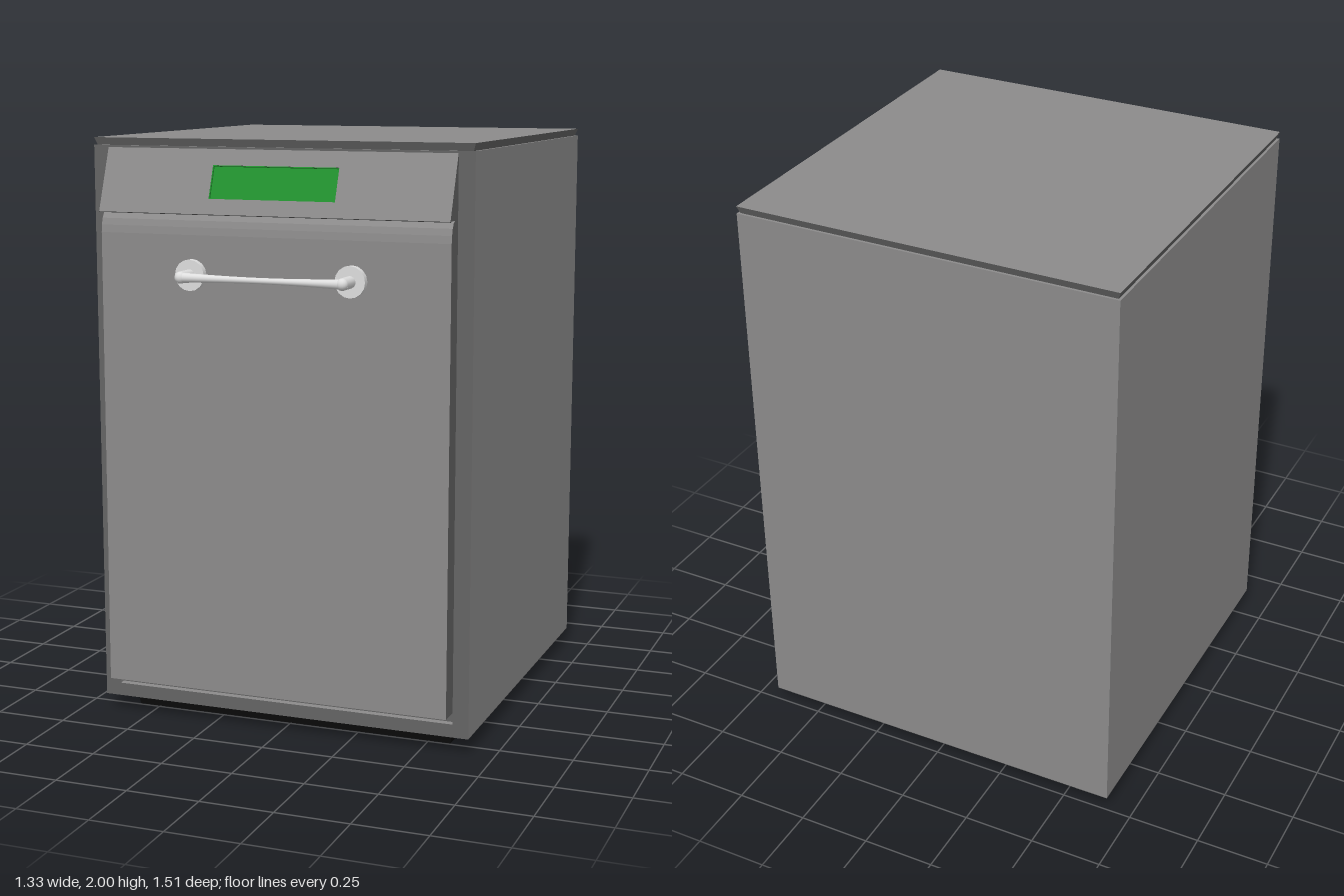
import * as THREE from 'three';

export function createModel() {
  const model = new THREE.Group();
  const mat = (name, color, side = THREE.FrontSide) => {
    const m = new THREE.MeshStandardMaterial({ color, side });
    m.name = name;
    return m;
  };
  const steel = mat('steel grey', 0x8c8b8b);
  const trim = mat('dark trim', 0x646464);
  const black = mat('plinth black', 0x0a0a0a);
  const green = mat('display green', 0x22922f);
  const chrome = mat('pale handle', 0xdedede);

  const add = (name, geometry, material, parent = model) => {
    const mesh = new THREE.Mesh(geometry, material);
    mesh.name = name;
    parent.add(mesh);
    return mesh;
  };
  const block = (name, x0, x1, y0, y1, z0, z1, material) =>
    add(name, new THREE.BoxGeometry(x1 - x0, y1 - y0, z1 - z0), material)
      .position.set((x0 + x1) / 2, (y0 + y1) / 2, (z0 + z1) / 2);
  const rect = (C, x0, x1, y0, y1) => new C([[x0, y0], [x1, y0], [x1, y1], [x0, y1]]
    .map(([x, y]) => new THREE.Vector2(x, y)));
  // flat outline with a rectangular opening
  const frame = (outer, inner, depth) => {
    const shape = rect(THREE.Shape, ...outer);
    shape.holes.push(rect(THREE.Path, ...inner));
    return new THREE.ExtrudeGeometry(shape, { depth, bevelEnabled: false });
  };
  // block whose lower end is narrower than its upper end
  const taperedBlock = (name, w, h, d, inset, y, z, material) => {
    const g = new THREE.BoxGeometry(w, h, d);
    const p = g.attributes.position;
    for (let i = 0; i < p.count; i++) {
      if (p.getY(i) < 0) {
        p.setX(i, p.getX(i) - Math.sign(p.getX(i)) * inset);
        p.setZ(i, p.getZ(i) - Math.sign(p.getZ(i)) * inset);
      }
    }
    g.computeVertexNormals();
    add(name, g, material).position.set(0, y, z);
  };
  // side profile of [z, y] points swept across the width
  const W = 0.61;
  const sweep = (name, points, materials) => {
    const shape = new THREE.Shape(points.map(([z, y]) => new THREE.Vector2(-z, y)));
    const g = new THREE.ExtrudeGeometry(shape, { depth: 2 * W, bevelEnabled: false });
    g.translate(0, 0, -W).rotateY(Math.PI / 2);
    add(name, g, materials);
  };

  // Cabinet, front surround and plinth
  block('cabinet', -0.665, 0.665, 0.057, 1.975, -0.755, 0.555, [steel, steel, steel, trim, trim, steel]);
  block('cabinetBottom', -0.665, 0.665, 0.055, 0.057, -0.755, 0.58, trim);
  add('frontSurround', frame([-0.665, 0.665, 0.057, 1.975], [-W, W, 0.1, 1.965], 0.025), [trim, steel])
    .position.z = 0.555;
  taperedBlock('plinth', 1.17, 0.056, 1.17, 0.008, 0.028, -0.085, black);

  // Worktop with an undercut edge
  taperedBlock('worktop', 1.33, 0.025, 1.335, 0.009, 1.9875, -0.0875,
    [trim, trim, steel, trim, trim, trim]);

  // Door with a rounded top edge
  sweep('door', [[0.555, 0.14], [0.653, 0.14], [0.645, 1.69], [0.642, 1.715], [0.636, 1.737],
    [0.625, 1.754], [0.61, 1.762], [0.555, 1.762]], [trim, steel]);

  // Sloping control panel: wedge backing plus a front plate with an opening
  const z0 = 0.66, y0 = 1.76, z1 = 0.582, y1 = 1.968, t = 0.008;
  const slope = Math.hypot(z0 - z1, y1 - y0);
  const angle = Math.atan2(z0 - z1, y1 - y0);
  const nz = Math.cos(angle) * t, ny = Math.sin(angle) * t;
  sweep('controlPanelBacking', [[0.555, y0], [z0 - nz, y0], [z1 - nz, y1 - ny],
    [0.555, y1 - ny]], [trim, trim]);
  const panel = new THREE.Group();
  panel.name = 'controlPanel';
  panel.position.set(0, y0, z0);
  panel.rotation.x = -angle;
  model.add(panel);
  const opening = [-0.22, 0.22, 0.053, 0.167];
  add('controlPanelFace', frame([-W, W, 0, slope], opening, t), [steel, trim], panel).position.z = -t;
  const [a, b, c, d] = opening;
  add('displayRim', frame(opening, [a + 0.003, b - 0.003, c + 0.003, d - 0.003], t - 0.0005),
    green, panel).position.z = -t;
  add('display', new THREE.BoxGeometry(b - a, d - c, 0.002), green, panel)
    .position.set(0, (c + d) / 2, -t + 0.0005);

  // Handle: waisted bar on two round-ended posts with wall plates
  const handle = new THREE.Group();
  handle.name = 'handle';
  handle.position.set(0, 1.56, 0);
  model.add(handle);
  for (const s of [-1, 1]) {
    const plate = add('handlePlate', new THREE.CylinderGeometry(0.052, 0.052, 0.024, 16), chrome, handle);
    plate.rotation.x = Math.PI / 2;
    plate.position.set(s * 0.28, 0, 0.656);
    const post = add('handlePost', new THREE.CylinderGeometry(0.02, 0.02, 0.08, 16), chrome, handle);
    post.rotation.x = Math.PI / 2;
    post.position.set(s * 0.28, 0, 0.695);
    add('handleCorner', new THREE.SphereGeometry(0.02, 16, 12), chrome, handle)
      .position.set(s * 0.28, 0, 0.735);
  }
  const profile = [];
  for (let i = 0; i <= 12; i++) {
    const u = i / 6 - 1;
    profile.push(new THREE.Vector2(0.01 + 0.007 * u * u, u * 0.28));
  }
  const bar = add('handleBar', new THREE.LatheGeometry(profile, 16), chrome, handle);
  bar.rotation.z = Math.PI / 2;
  bar.position.z = 0.735;

  return model;
}
